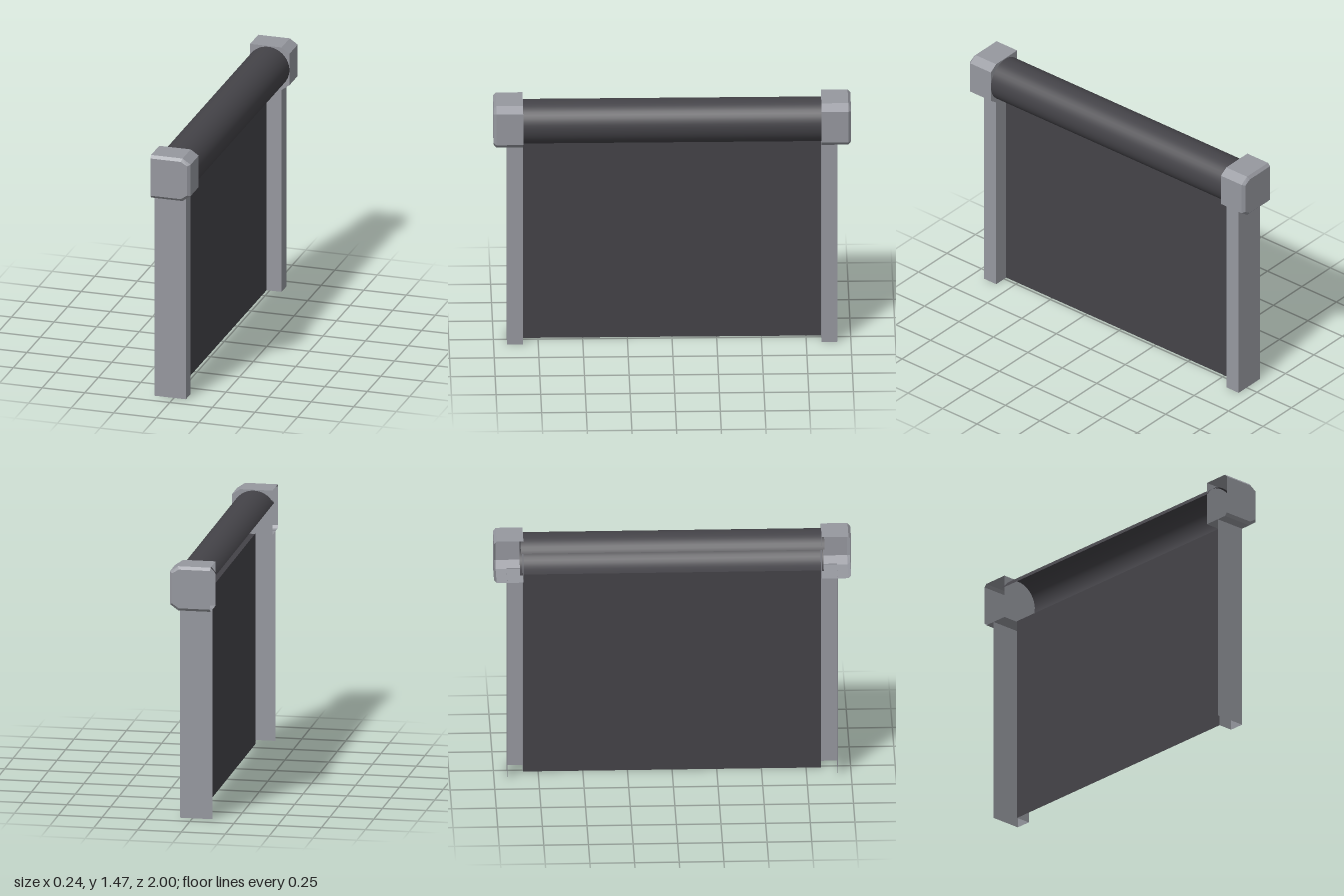
import * as THREE from 'three';

const grey = new THREE.MeshStandardMaterial({ color: 0x96989f, side: THREE.DoubleSide, flatShading: true });
grey.name = 'greyMetal';
const dark = new THREE.MeshStandardMaterial({ color: 0x444348, side: THREE.DoubleSide });
dark.name = 'darkSlats';

const BACK = -0.115, FRONT = 0.07, INNER = 0.835, OUTER = 0.925, CURTAIN = -0.018;

// Housing outline in x/y, open at the back, with cut front corners
const housing = (i) => [
  [BACK, 1.21 + i], [0.07 - i * 0.4, 1.21 + i], [0.117 - i, 1.245 + i * 0.4],
  [0.117 - i, 1.433 - i * 0.4], [0.07 - i * 0.4, 1.465 - i], [BACK, 1.465 - i],
];

// Skin strips between matching open cross-sections
function loft(rings) {
  const n = rings[0].length, index = [];
  for (let r = 0; r < rings.length - 1; r++) {
    for (let i = 0; i < n - 1; i++) {
      const a = r * n + i, b = a + n;
      index.push(a, a + 1, b, a + 1, b + 1, b);
    }
  }
  const g = new THREE.BufferGeometry();
  g.setAttribute('position', new THREE.Float32BufferAttribute(rings.flat(2), 3));
  g.setIndex(index);
  const flat = g.toNonIndexed();
  flat.computeVertexNormals();
  return flat;
}

function add(parent, name, geometry, material) {
  const mesh = new THREE.Mesh(geometry, material);
  mesh.name = name;
  parent.add(mesh);
  return mesh;
}

function plate(points) {
  return new THREE.ShapeGeometry(new THREE.Shape(points.map(([x, y]) => new THREE.Vector2(x, y))));
}

// One side: guide rail and bracket housing, built at +z
function createSide(name) {
  const side = new THREE.Group();
  side.name = name;

  // Folded guide rail: outer web, front face and inner return
  const rail = [[BACK, OUTER], [FRONT, OUTER], [FRONT, INNER], [CURTAIN, INNER]];
  add(side, 'guideRail', loft([0, 1.215].map((y) => rail.map(([x, z]) => [x, y, z]))), grey);

  // Housing shell with a bevelled outer rim
  const rings = [[0, INNER], [0, 0.985], [0.016, 1]];
  add(side, 'housingShell', loft(rings.map(([i, z]) => housing(i).map(([x, y]) => [x, y, z]))), grey);
  add(side, 'housingEndPlate', plate(housing(0.016)), grey).position.z = 1;
  add(side, 'housingInnerPlate', plate(housing(0)), grey).position.z = INNER;
  return side;
}

export function createModel() {
  const model = new THREE.Group();
  model.name = 'rollerShutter';

  const left = createSide('nearSide');
  const right = createSide('farSide');
  right.scale.z = -1;
  model.add(left, right);

  // Curved roll cover, open at the lower back
  const start = -0.07;
  const roll = new THREE.CylinderGeometry(0.125, 0.125, 1.7, 28, 1, true, start, Math.PI + 1.11 - start);
  roll.rotateX(Math.PI / 2);
  add(model, 'rollCover', roll, dark).position.set(-0.009, 1.335, 0);

  // Hanging curtain
  const curtain = new THREE.PlaneGeometry(INNER * 2, 1.215);
  curtain.rotateY(Math.PI / 2);
  add(model, 'curtain', curtain, dark).position.set(CURTAIN, 0.6075, 0);

  return model;
}
